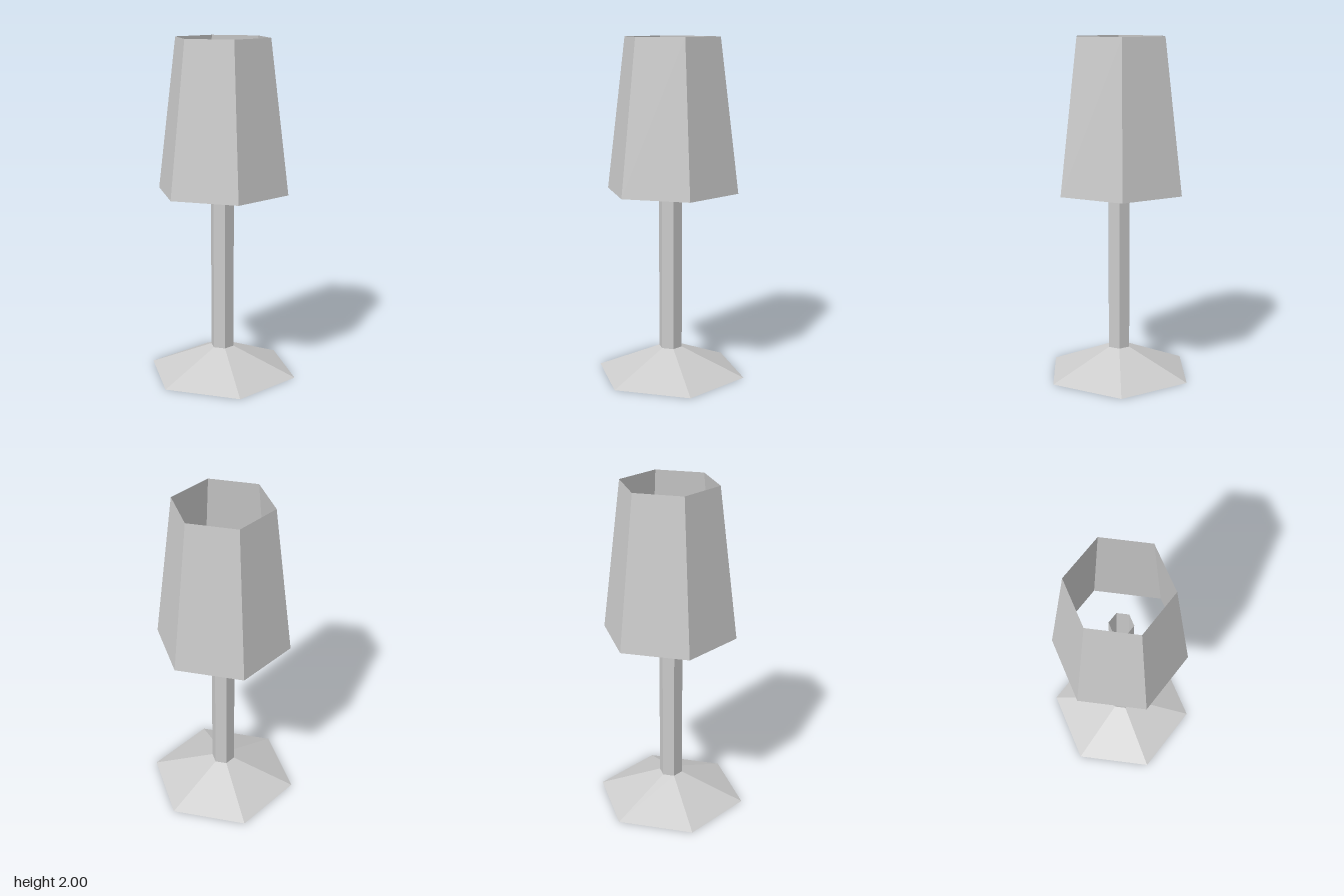
import * as THREE from 'three';

const material = new THREE.MeshStandardMaterial({
  color: 0xcccccc,
  flatShading: true,
  side: THREE.DoubleSide,
});

// Open six-sided sleeve with corners on the z axis, spanning y0 to y1
function hexSleeve(name, topRadius, bottomRadius, y0, y1) {
  const geometry = new THREE.CylinderGeometry(topRadius, bottomRadius, y1 - y0, 6, 1, true);
  const mesh = new THREE.Mesh(geometry, material);
  mesh.name = name;
  mesh.position.y = (y0 + y1) / 2;
  return mesh;
}

export function createModel() {
  const lamp = new THREE.Group();
  lamp.name = 'tableLamp';

  // Hollow sloping foot
  lamp.add(hexSleeve('base', 0.07, 0.451, 0, 0.16));

  // Hollow pole, ending inside the shade
  lamp.add(hexSleeve('pole', 0.07, 0.07, 0.16, 1.5));

  // Thin shade, open at both ends and slightly off the pole's axis
  const shade = hexSleeve('shade', 0.284, 0.396, 1.11, 2);
  shade.position.x = -0.007;
  shade.position.z = -0.007;
  lamp.add(shade);

  return lamp;
}
